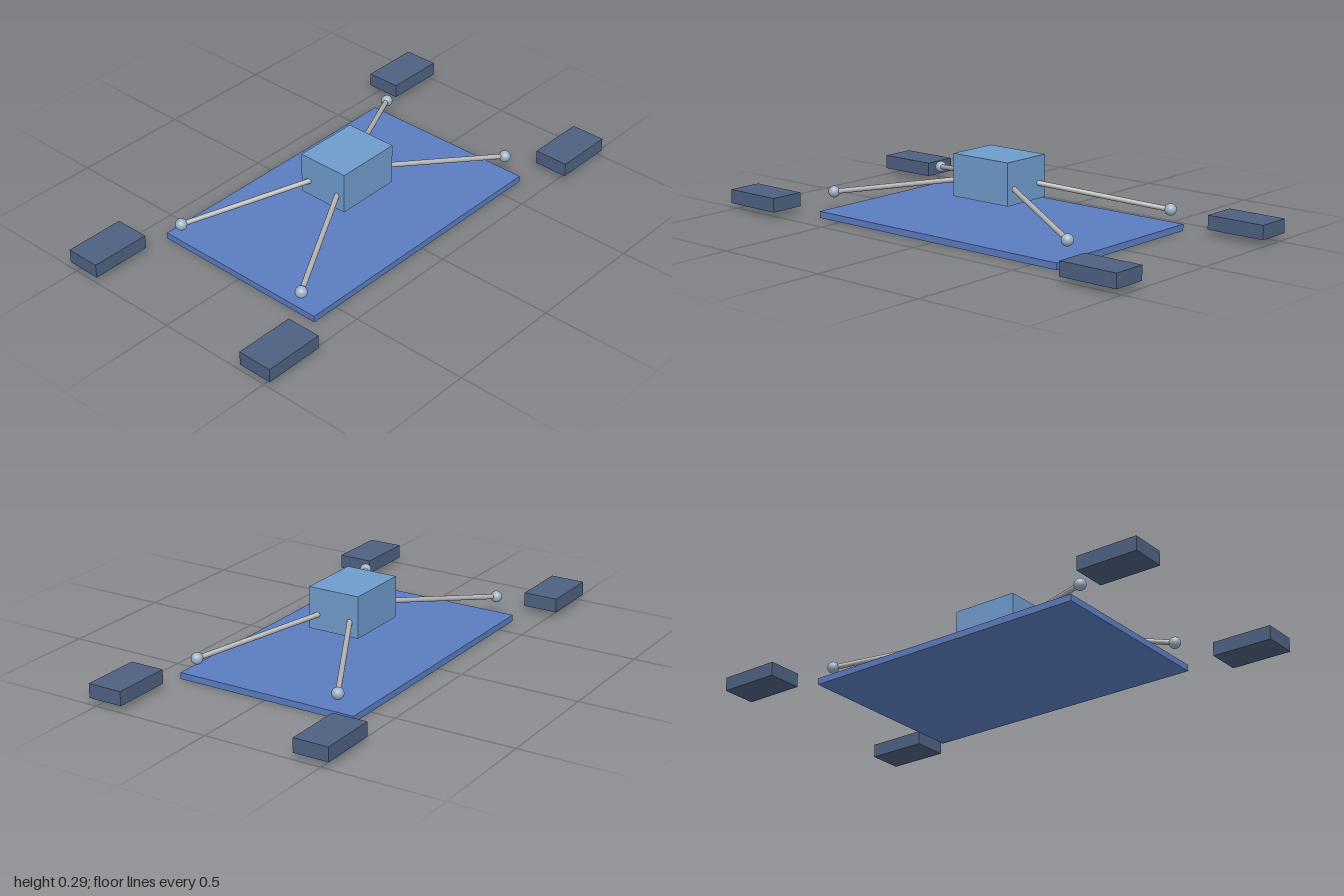
import * as THREE from 'three';

const mat = (name, color) => {
  const m = new THREE.MeshStandardMaterial({ color });
  m.name = name;
  return m;
};

export function createModel() {
  const plateBlue = mat('plate blue', 0x5b7cc0);
  const hubBlue = mat('hub light blue', 0x6f9bcc);
  const slate = mat('slate blue', 0x4e6181);
  const rodGrey = mat('rod grey', 0xb0b1b0);
  const jointGrey = mat('joint blue grey', 0x9fb3c8);

  const model = new THREE.Group();
  model.name = 'model';
  const add = (name, geometry, material, x, y, z) => {
    const mesh = new THREE.Mesh(geometry, material);
    mesh.name = name;
    mesh.position.set(x, y, z);
    model.add(mesh);
    return mesh;
  };

  // Flat base plate and raised central hub
  add('basePlate', new THREE.BoxGeometry(1.24, 0.027, 0.788), plateBlue, 0, 0.0135, 0);
  add('hub', new THREE.BoxGeometry(0.285, 0.174, 0.226), hubBlue, 0, 0.201, 0);

  const padGeometry = new THREE.BoxGeometry(0.256, 0.058, 0.148);
  const jointGeometry = new THREE.SphereGeometry(0.024, 24, 16);
  const centre = new THREE.Vector3(0, 0.201, 0);
  const up = new THREE.Vector3(0, 1, 0);

  // One rod, ball joint and pad at each corner
  for (const sx of [1, -1]) {
    for (const sz of [1, -1]) {
      const corner = (sz > 0 ? 'front' : 'back') + (sx > 0 ? 'Left' : 'Right');
      const end = new THREE.Vector3(sx * 0.61, 0.098, sz * 0.32);
      const along = end.clone().sub(centre);
      const mid = end.clone().add(centre).multiplyScalar(0.5);
      const rod = add(corner + 'Rod', new THREE.CylinderGeometry(0.0105, 0.0105, along.length(), 20),
        rodGrey, mid.x, mid.y, mid.z);
      rod.quaternion.setFromUnitVectors(up, along.normalize());
      add(corner + 'Joint', jointGeometry, jointGrey, end.x, end.y, end.z);
      add(corner + 'Pad', padGeometry, slate, sx * 0.872, 0.056, sz * 0.457);
    }
  }
  return model;
}
